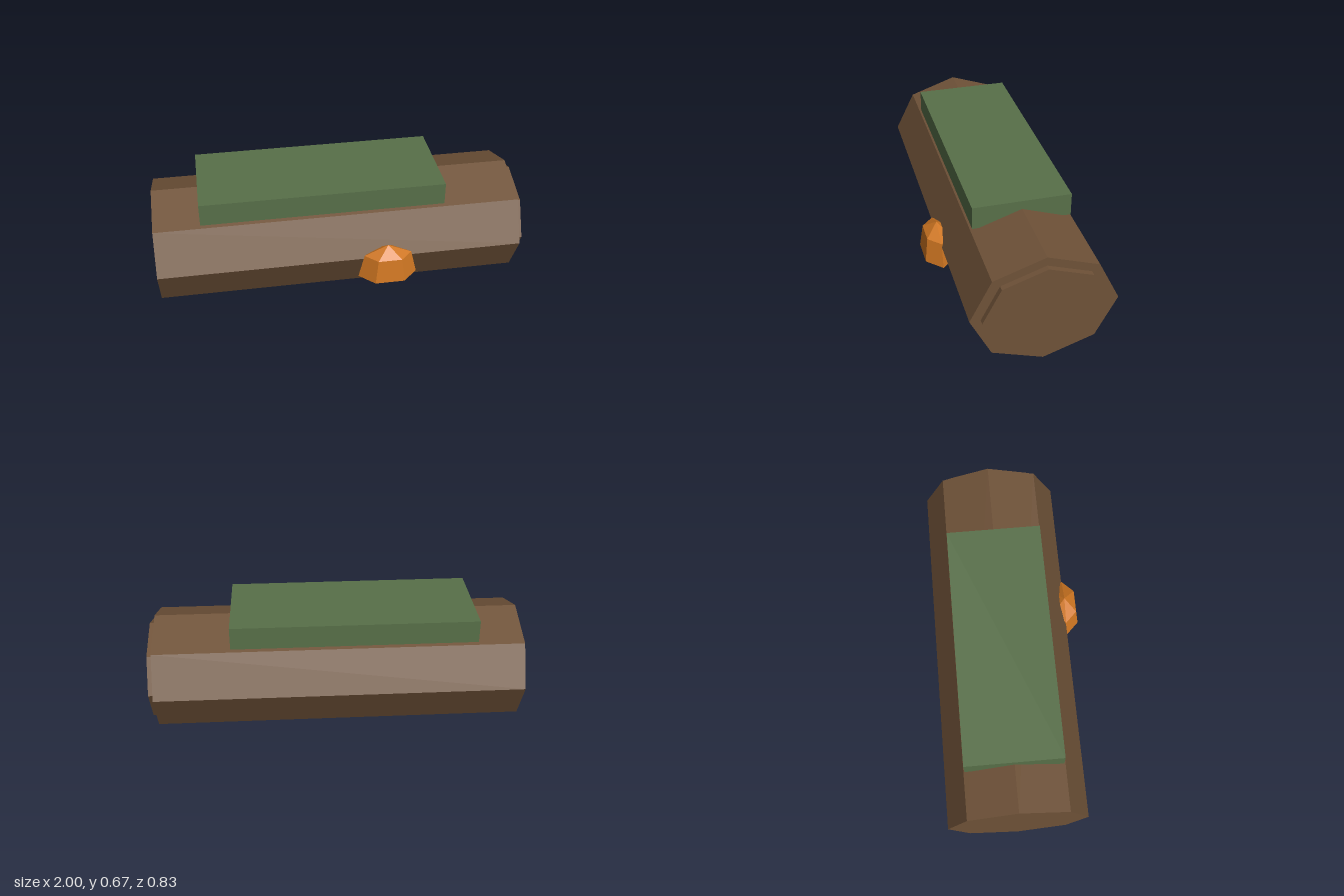
import * as THREE from 'three';

const bark = new THREE.MeshStandardMaterial({ color: 0x6f5238 });
bark.name = 'bark brown';
const moss = new THREE.MeshStandardMaterial({ color: 0x587049 });
moss.name = 'moss green';
const fungus = new THREE.MeshStandardMaterial({ color: 0xd07722, side: THREE.DoubleSide });
fungus.name = 'mushroom orange';

// Mesh with one normal per facet
function facetedMesh(name, geometry, material) {
  const flat = geometry.index ? geometry.toNonIndexed() : geometry;
  flat.computeVertexNormals();
  const mesh = new THREE.Mesh(flat, material);
  mesh.name = name;
  return mesh;
}

// Eight-sided prism lying along x, slightly wider than it is tall
function lyingPrism(name, x0, x1, radiusY, radiusZ) {
  const g = new THREE.CylinderGeometry(1, 1, x1 - x0, 8);
  g.rotateZ(Math.PI / 2);
  g.scale(1, radiusY, radiusZ);
  g.translate((x0 + x1) / 2, 0.311, -0.039);
  return facetedMesh(name, g, bark);
}

export function createModel() {
  const group = new THREE.Group();
  group.name = 'mossyLog';

  // Log and the raised disc on its left end
  group.add(lyingPrism('log', -1, 0.97, 0.31, 0.374));
  group.add(lyingPrism('endDisc', 0.94, 1, 0.263, 0.319));

  // Slab of moss on top
  const slab = new THREE.BoxGeometry(1.31, 0.123, 0.516);
  slab.translate(-0.097, 0.606, -0.04);
  group.add(facetedMesh('mossSlab', slab, moss));

  // Six-sided mushroom cap on the front
  const profile = [[0.16, 0.197], [0.128, 0.33], [0, 0.388]]
    .map(([r, y]) => new THREE.Vector2(r, y));
  const cap = new THREE.LatheGeometry(profile, 6, Math.PI / 2);
  cap.scale(1, 1, 0.58);
  cap.translate(0.23, 0, 0.335);
  group.add(facetedMesh('mushroomCap', cap, fungus));

  return group;
}
